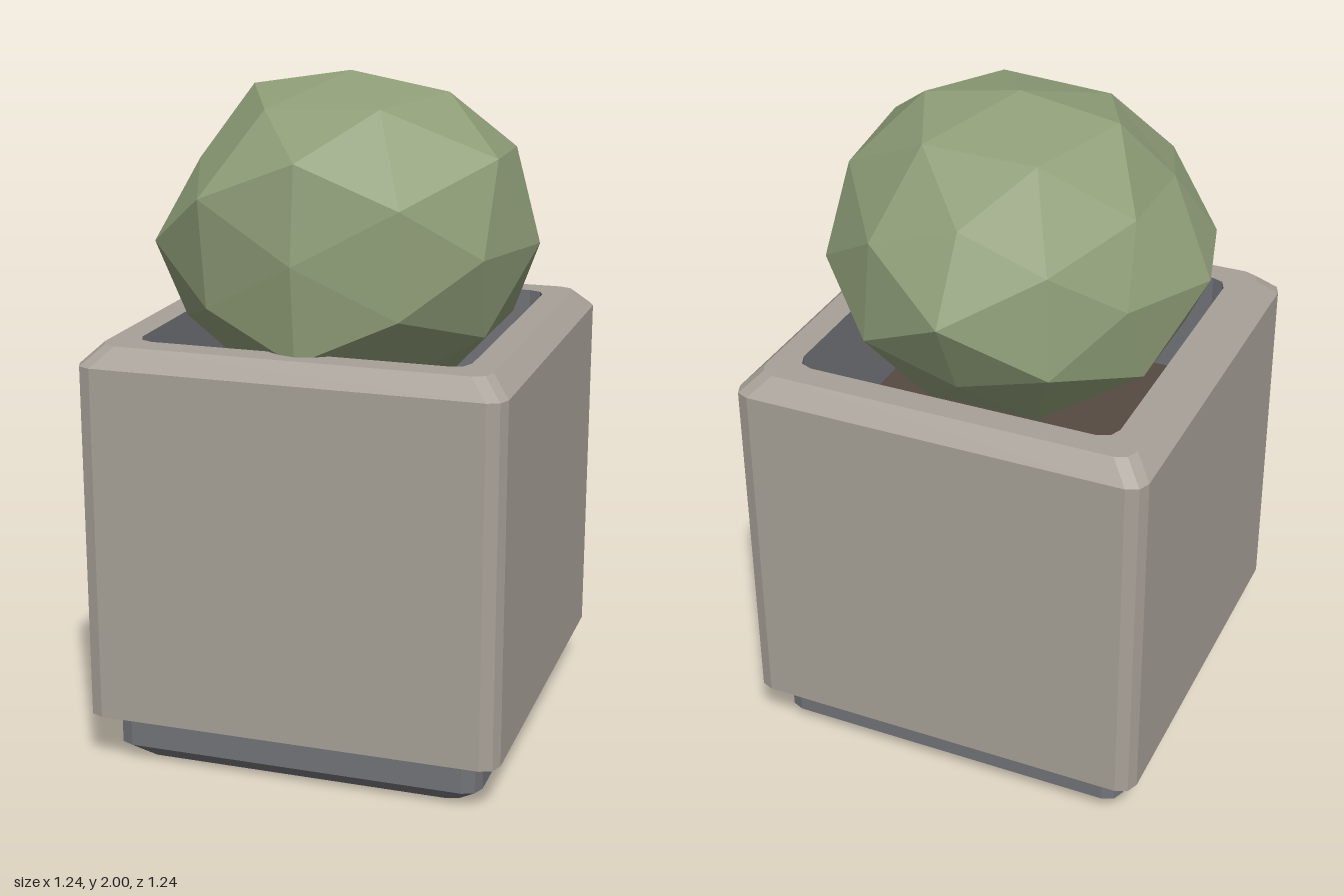
import * as THREE from 'three';

const material = (name, color, extra = {}) => {
  const m = new THREE.MeshStandardMaterial({ color, ...extra });
  m.name = name;
  return m;
};

// Square outline with rounded corners (two segments per corner)
function roundedSquare([half, radius, y]) {
  const points = [];
  for (let corner = 0; corner < 4; corner++) {
    const mid = Math.PI / 4 + corner * Math.PI / 2;
    const cx = Math.sign(Math.cos(mid)) * (half - radius);
    const cz = Math.sign(Math.sin(mid)) * (half - radius);
    for (let s = 0; s <= 2; s++) {
      const a = (corner + s / 2) * Math.PI / 2;
      points.push(new THREE.Vector3(cx + radius * Math.cos(a), y, cz + radius * Math.sin(a)));
    }
  }
  return points;
}

// Skin between successive outlines [half, radius, y], with optional flat caps
function loft(sections, capStart = false, capEnd = false) {
  const rings = sections.map(roundedSquare);
  const pos = [];
  const tri = (...v) => v.forEach(p => pos.push(p.x, p.y, p.z));
  const n = rings[0].length;
  for (let i = 0; i < rings.length - 1; i++) {
    for (let j = 0; j < n; j++) {
      const k = (j + 1) % n;
      tri(rings[i][j], rings[i + 1][j], rings[i + 1][k]);
      tri(rings[i][j], rings[i + 1][k], rings[i][k]);
    }
  }
  const cap = (ring, up) => {
    const c = new THREE.Vector3(0, ring[0].y, 0);
    ring.forEach((p, j) => {
      const q = ring[(j + 1) % n];
      if (up) tri(c, q, p); else tri(c, p, q);
    });
  };
  if (capStart) cap(rings[0], false);
  if (capEnd) cap(rings[rings.length - 1], true);
  const g = new THREE.BufferGeometry();
  g.setAttribute('position', new THREE.Float32BufferAttribute(pos, 3));
  g.computeVertexNormals();
  return g;
}

// Faceted ball whose corners are pushed in or out: [direction x, y, z, radius]
function bushGeometry() {
  const bumps = [
    [0, 1, 0, 0.535], [0.53, 0.85, 0, 0.56], [-0.53, 0.85, 0, 0.565],
    [1, 0, 0, 0.567], [-1, 0, 0, 0.578], [0, 0, 1, 0.54], [0, 0, -1, 0.565],
    [0, 0.53, 0.85, 0.595], [0, 0.53, -0.85, 0.495],
    [0, -0.53, 0.85, 0.6], [0, -0.53, -0.85, 0.52],
    [0.81, 0.5, 0.31, 0.6], [0.81, 0.5, -0.31, 0.56],
    [-0.81, 0.5, 0.31, 0.505], [-0.81, 0.5, -0.31, 0.505],
    [-0.85, 0, 0.53, 0.58], [-0.85, 0, -0.53, 0.51],
    [-0.5, 0.31, 0.81, 0.585], [-0.5, 0.31, -0.81, 0.52], [0.5, 0.31, -0.81, 0.53],
    [-0.31, 0.81, 0.5, 0.54], [-0.31, 0.81, -0.5, 0.54], [0.31, 0.81, -0.5, 0.55],
  ].map(([x, y, z, r]) => ({ dir: new THREE.Vector3(x, y, z).normalize(), r }));
  const g = new THREE.IcosahedronGeometry(1, 1);
  g.deleteAttribute('uv');
  const p = g.attributes.position;
  const v = new THREE.Vector3();
  for (let i = 0; i < p.count; i++) {
    v.fromBufferAttribute(p, i).normalize();
    const bump = bumps.find(b => b.dir.dot(v) > 0.99);
    v.multiplyScalar(bump ? bump.r : 0.56);
    p.setXYZ(i, v.x, v.y * 0.88, v.z);
  }
  g.computeVertexNormals();
  return g;
}

export function createModel() {
  const stone = material('warm grey stone', 0xa8a198);
  const metal = material('dark grey', 0x737478);
  const earth = material('brown soil', 0x564a41);
  const leaf = material('sage green', 0x8f9e78, { flatShading: true });

  const model = new THREE.Group();
  model.name = 'planter';
  const add = (name, geometry, mat) => {
    const mesh = new THREE.Mesh(geometry, mat);
    mesh.name = name;
    model.add(mesh);
    return mesh;
  };

  // Recessed foot with a bevelled bottom edge and the underside of the pot
  add('foot', loft([[0.5, 0.05, 0], [0.555, 0.05, 0.05], [0.555, 0.05, 0.16], [0.62, 0.05, 0.16]], true), metal);
  // Outer walls, bevel and flat rim
  add('potBody', loft([[0.62, 0.05, 0.16], [0.62, 0.05, 1.22], [0.565, 0.05, 1.275], [0.485, 0.05, 1.275]]), stone);
  // Inner walls down to the soil
  add('liner', loft([[0.485, 0.05, 1.275], [0.485, 0.05, 0.93]]), metal);
  add('soil', loft([[0.485, 0.05, 0.93], [0.4, 0.05, 0.93]], false, true), earth);
  // Clipped bush
  add('bush', bushGeometry(), leaf).position.set(0.003, 1.53, 0.01);
  return model;
}
